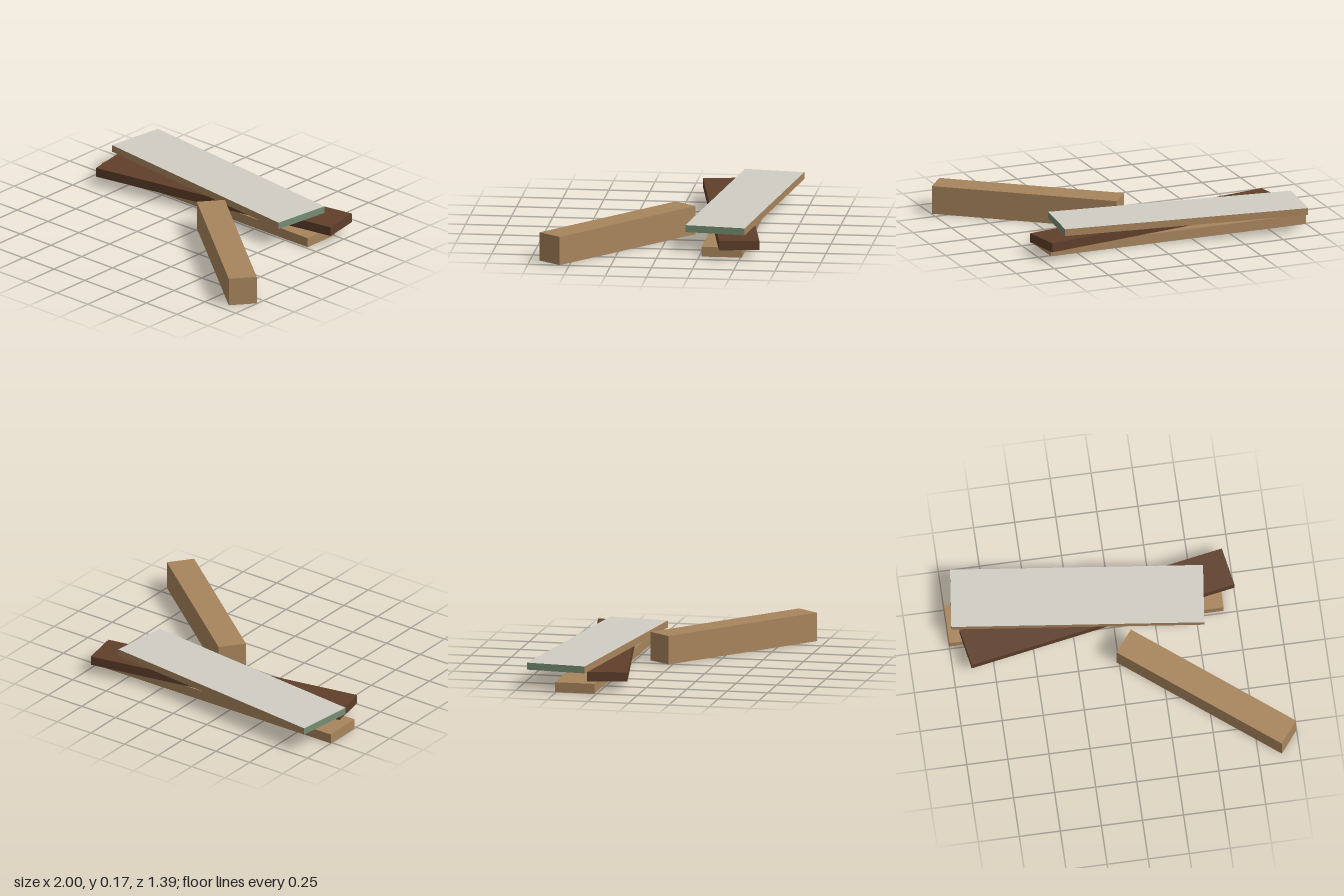
import * as THREE from 'three';

const paint = (name, color) => {
  const m = new THREE.MeshStandardMaterial({ color });
  m.name = name;
  return m;
};

export function createModel() {
  const wood = paint('light wood', 0xa8855c);
  const darkWood = paint('dark wood', 0x5f3f2b);
  const grey = paint('pale grey', 0xd0cdc4);
  const green = paint('grey green', 0x768e73);

  const model = new THREE.Group();
  model.name = 'plankPile';

  // One board: length, thickness, width, centre, bottom height and turn
  const board = (name, [l, h, w], [x, y, z], turn, material) => {
    const mesh = new THREE.Mesh(new THREE.BoxGeometry(l, h, w), material);
    mesh.name = name;
    mesh.position.set(x, y + h / 2, z);
    mesh.rotation.y = turn;
    model.add(mesh);
  };

  // Three stacked planks, each turned a little
  board('bottomPlank', [1.67, 0.06, 0.245], [-0.165, 0, -0.387], 0, wood);
  board('middlePlank', [1.666, 0.057, 0.243], [-0.09, 0.06, -0.353], 0.178, darkWood);
  // Top plank: green ends, grey faces, wooden long edges
  board('topPlank', [1.526, 0.043, 0.368], [-0.2, 0.117, -0.4225], -0.118,
    [green, green, grey, grey, wood, wood]);

  // Thick beam lying in front
  board('looseBeam', [1.156, 0.175, 0.171], [0.491, 0, 0.266], -0.669, wood);

  return model;
}
